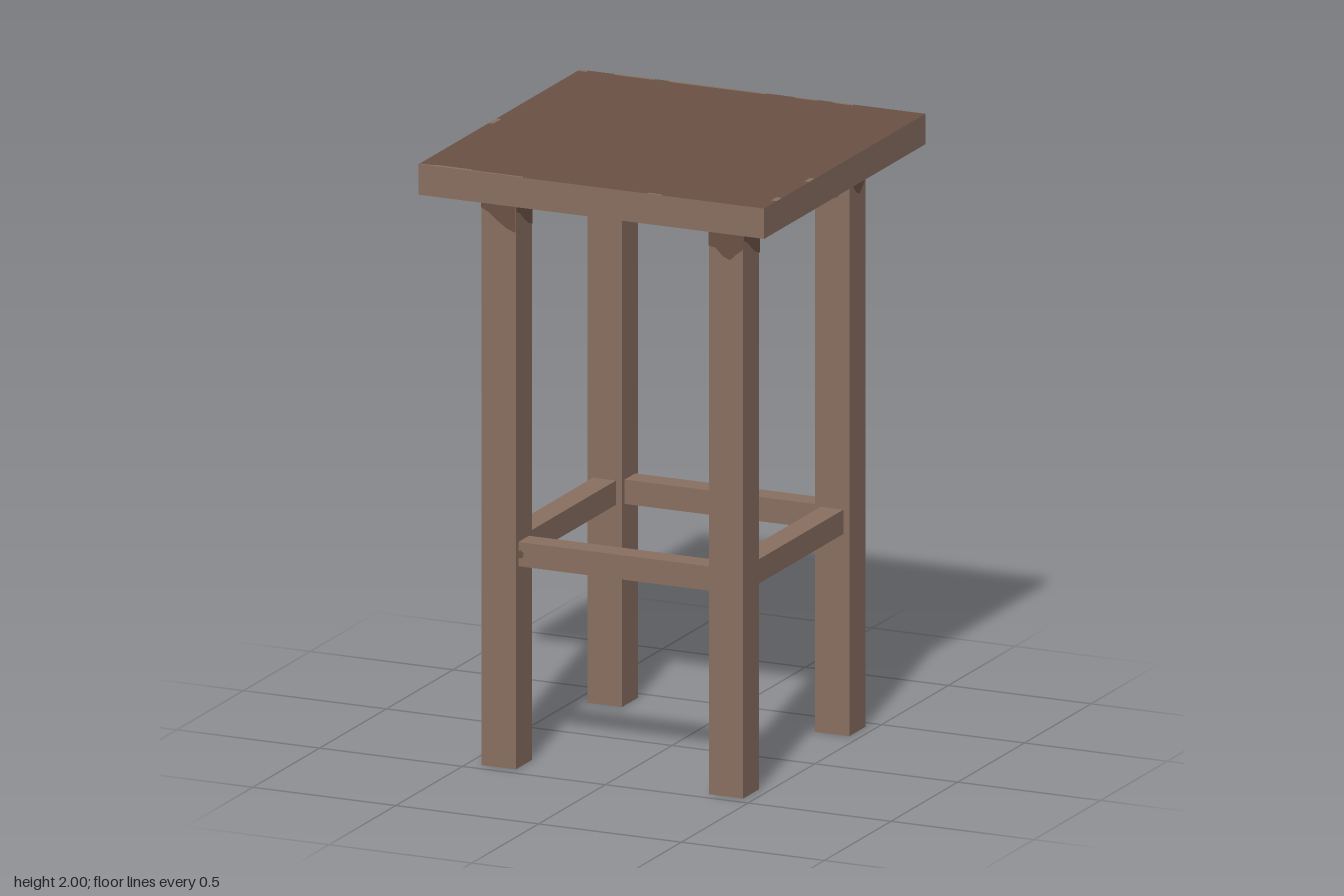
import * as THREE from 'three';

const wood = new THREE.MeshStandardMaterial({ name: 'lightWood', color: 0x886f60 });
const stain = new THREE.MeshStandardMaterial({ name: 'darkStain', color: 0x6b5145 });
const grey = new THREE.MeshStandardMaterial({ name: 'greyPatch', color: 0x82857f });

const SEAT = 1.21, SEAT_Y = 1.9, LEG = 0.12, GAP = 0.002;
const RUNG_Y = 0.705, RUNG_H = 0.08;
const LEG_X = [-0.392, 0.404], LEG_Z = [-0.395, 0.4];

function box(name, size, pos, material = wood) {
  const mesh = new THREE.Mesh(new THREE.BoxGeometry(...size), material);
  mesh.name = name;
  mesh.position.set(...pos);
  return mesh;
}

// Flat painted plate outlined by [x, y] points, facing +z until turned
function plate(name, points, material) {
  const shape = new THREE.Shape(points.map(([x, y]) => new THREE.Vector2(x, y)));
  const mesh = new THREE.Mesh(new THREE.ShapeGeometry(shape), material);
  mesh.name = name;
  return mesh;
}

export function createModel() {
  const model = new THREE.Group();
  model.name = 'stool';

  // Seat: light slab with a dark top face
  const seat = box('seat', [SEAT, 0.1, SEAT], [0, SEAT_Y + 0.05, 0],
    [wood, wood, stain, wood, wood, wood]);
  model.add(seat);

  // Worn chips along the edges of the seat top: [x, z, width, depth]
  const chips = [
    [-0.41, -0.6, 0.14, 0.01], [-0.12, -0.599, 0.34, 0.01], [0.19, -0.6, 0.08, 0.01],
    [0.32, -0.599, 0.07, 0.01], [-0.59, -0.596, 0.03, 0.016], [-0.49, 0.592, 0.13, 0.008],
    [-0.42, 0.6, 0.36, 0.009], [0.22, 0.6, 0.05, 0.01], [-0.596, 0.05, 0.017, 0.06],
    [0.596, 0.245, 0.018, 0.04], [0.595, 0.49, 0.02, 0.04],
  ];
  for (const [x, z, w, d] of chips) {
    model.add(box('seatChip', [w, 0.001, d], [x, 2, z]));
  }

  // Grey patch in the middle of the underside, outlined in [x, z]
  const patch = plate('undersidePatch', [
    [0.02, -0.3], [0.16, -0.08], [0.2, 0.1], [0.24, 0.25], [0.1, 0.3],
    [-0.11, 0.3], [-0.18, 0.02], [-0.1, -0.25],
  ], grey);
  patch.rotation.x = Math.PI / 2;
  patch.position.y = SEAT_Y - GAP;
  model.add(patch);

  // Lower outline of the stain on a leg face: left-hand and right-hand legs differ
  const h = LEG / 2;
  const leftEdge = [[-h, -0.06], [-0.03, -0.075], [0, -0.1], [0.03, -0.12], [h, -0.13]];
  const rightEdge = [[-h, -0.09], [-0.035, -0.095], [-0.01, -0.12], [0.015, -0.13], [0.035, -0.11], [h, -0.09]];

  // Legs with stained tops and a stain ring on the underside around each
  for (const x of LEG_X) for (const z of LEG_Z) {
    const leg = new THREE.Group();
    leg.name = 'leg';
    leg.position.set(x, 0, z);
    leg.add(box('legPost', [LEG, SEAT_Y, LEG], [0, SEAT_Y / 2, 0]));
    for (let i = 0; i < 4; i++) {
      const a = i * Math.PI / 2;
      const across = x * Math.cos(a) - z * Math.sin(a);
      const edge = across < 0 ? leftEdge : rightEdge;
      const mark = plate('legStain', [...edge, [h, 0], [-h, 0]], stain);
      mark.rotation.y = a;
      mark.position.set(Math.sin(a) * (h + GAP), SEAT_Y, Math.cos(a) * (h + GAP));
      leg.add(mark);
    }
    const ring = [];
    for (let i = 0; i < 14; i++) {
      const a = i / 14 * Math.PI * 2, r = 0.138 + 0.012 * Math.sin(3 * a);
      ring.push([r * Math.cos(a), r * Math.sin(a)]);
    }
    const blot = plate('undersideStain', ring, stain);
    blot.rotation.x = Math.PI / 2;
    blot.position.y = SEAT_Y - GAP;
    leg.add(blot);
    model.add(leg);
  }

  // Rungs joining the legs, centred on them, each with a small dark knot
  const length = LEG_X[1] - LEG_X[0];
  const cx = (LEG_X[0] + LEG_X[1]) / 2, cz = (LEG_Z[0] + LEG_Z[1]) / 2;
  for (let i = 0; i < 4; i++) {
    const a = i * Math.PI / 2;
    const rung = new THREE.Group();
    rung.name = 'rung';
    rung.position.set(cx + Math.sin(a) * length / 2, RUNG_Y, cz + Math.cos(a) * length / 2);
    rung.rotation.y = a;
    rung.add(box('rungBar', [length - LEG + 0.01, RUNG_H, 0.08], [0, 0, 0]));
    const knot = plate('rungKnot', [[0, -0.012], [0.016, -0.01], [0.02, 0.005], [0.008, 0.014], [0, 0.01]], stain);
    knot.position.set(-(length - LEG) / 2, 0, 0.04 + GAP);
    rung.add(knot);
    model.add(rung);
  }

  return model;
}
